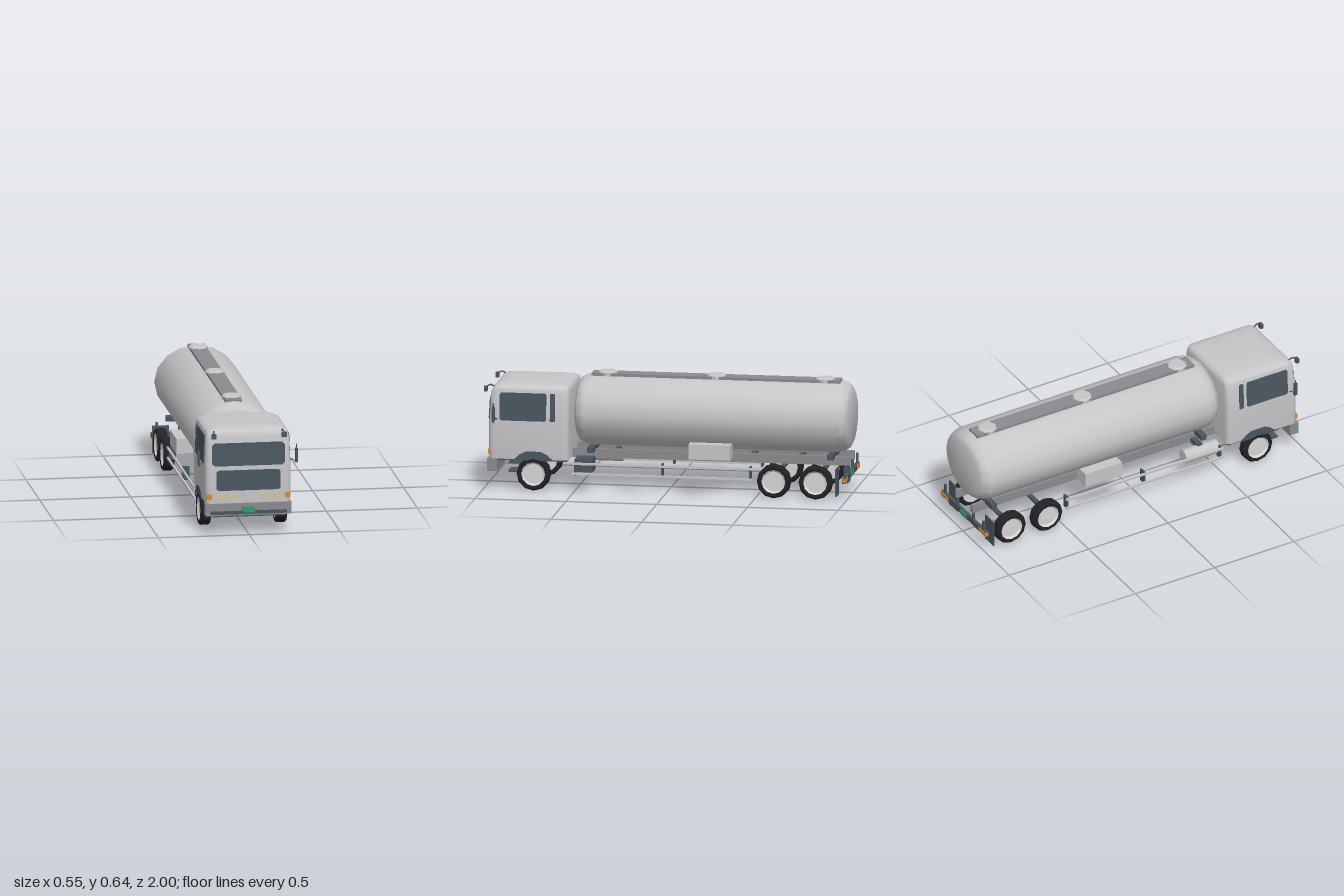
import * as THREE from 'three';
import { toCreasedNormals } from 'three/addons/utils/BufferGeometryUtils.js';

const paint = (name, color) => Object.assign(new THREE.MeshStandardMaterial({ color }), { name });

export function createModel() {
  const model = new THREE.Group();
  model.name = 'tankerTruck';
  const body = paint('bodySilver', 0xc6c6c9);
  const grey = paint('midGrey', 0x8b8b8f);
  const dark = paint('darkSlate', 0x4a5660);
  const tyreMat = paint('tyreBlack', 0x222126);
  const hubMat = paint('hubGrey', 0xd6d6d6);
  const orange = paint('orangeLamp', 0xdb8f24);
  const lampMat = paint('headlightCream', 0xcdc5a4);
  const green = paint('plateGreen', 0x2f9e78);

  const add = (name, geo, mat, parent = model) => {
    const m = new THREE.Mesh(geo, mat);
    m.name = name;
    parent.add(m);
    return m;
  };
  // Box given by its extents on each axis
  const box = (name, mat, [x0, x1], [y0, y1], [z0, z1], parent = model) => {
    const m = add(name, new THREE.BoxGeometry(Math.abs(x1 - x0), y1 - y0, z1 - z0), mat, parent);
    m.position.set((x0 + x1) / 2, (y0 + y1) / 2, (z0 + z1) / 2);
    return m;
  };
  const lathe = (pts, sides) => new THREE.LatheGeometry(pts.map(p => new THREE.Vector2(...p)), sides);
  // Thin panel with cut corners, facing +z
  const panel = (w, h, c, t = 0.008) => {
    const a = w / 2, b = h / 2;
    const s = new THREE.Shape([[-a + c, -b], [a - c, -b], [a, -b + c], [a, b - c], [a - c, b], [-a + c, b], [-a, b - c], [-a, -b + c]]
      .map(p => new THREE.Vector2(...p)));
    return new THREE.ExtrudeGeometry(s, { depth: t, bevelEnabled: false }).translate(0, 0, -t / 2);
  };
  // Round rod through a few points
  const rod = (name, mat, pts, r = 0.004) => {
    const path = new THREE.CurvePath();
    const v = pts.map(p => new THREE.Vector3(...p));
    for (let i = 1; i < v.length; i++) path.add(new THREE.LineCurve3(v[i - 1], v[i]));
    add(name, new THREE.TubeGeometry(path, 8, r, 6), mat);
  };

  // Cab shell: rounded rectangles stacked upwards [y, halfWidth, back, front, radius]
  const levels = [
    [0.172, 0.233, 0.53, 0.97, 0.03], [0.22, 0.236, 0.53, 0.971, 0.03], [0.37, 0.236, 0.53, 0.971, 0.03],
    [0.535, 0.229, 0.53, 0.96, 0.035], [0.56, 0.222, 0.534, 0.952, 0.04], [0.574, 0.2, 0.545, 0.935, 0.045],
    [0.582, 0.165, 0.575, 0.9, 0.045], [0.585, 0.08, 0.65, 0.82, 0.04]];
  const pos = [], idx = [], N = 20;
  for (const [y, hx, z0, z1, r] of levels) {
    [[hx - r, z1 - r], [-hx + r, z1 - r], [-hx + r, z0 + r], [hx - r, z0 + r]].forEach(([cx, cz], q) => {
      for (let k = 0; k < 5; k++) {
        const a = (q + k / 4) * Math.PI / 2;
        pos.push(cx + r * Math.cos(a), y, cz + r * Math.sin(a));
      }
    });
  }
  for (let i = 0; i < levels.length - 1; i++) {
    for (let j = 0; j < N; j++) {
      const a = i * N + j, b = i * N + (j + 1) % N;
      idx.push(a, a + N, b + N, a, b + N, b);
    }
  }
  const top = (levels.length - 1) * N;
  for (let j = 1; j < N - 1; j++) idx.push(top, top + j + 1, top + j, 0, j, j + 1);
  const shell = new THREE.BufferGeometry();
  shell.setAttribute('position', new THREE.Float32BufferAttribute(pos, 3));
  shell.setIndex(idx);
  add('cabShell', toCreasedNormals(shell, 0.7), body);
  box('cabFloor', dark, [-0.225, 0.225], [0.163, 0.174], [0.54, 0.95]);

  // Cab front: windscreen, grille, lamps, bumper
  const screen = add('windscreen', panel(0.4, 0.126, 0.014), dark);
  screen.position.set(0, 0.4425, 0.9672);
  screen.rotation.x = -0.066;
  add('grille', panel(0.35, 0.113, 0.01), dark).position.set(0, 0.299, 0.97);
  box('frontBumper', grey, [-0.236, 0.236], [0.104, 0.172], [0.922, 0.977]);
  box('bumperIntake', dark, [-0.211, 0.211], [0.111, 0.13], [0.972, 0.979]);
  box('bumperLip', dark, [-0.2, 0.2], [0.096, 0.104], [0.93, 0.97]);
  box('frontPlate', green, [-0.033, 0.033], [0.12, 0.153], [0.974, 0.981]);

  // Wheel arch spanning the cab's underside
  const arch = new THREE.Shape([[-0.11, 0.168], [-0.075, 0.2], [-0.04, 0.217], [0.04, 0.217], [0.075, 0.2], [0.11, 0.168]]
    .map(p => new THREE.Vector2(...p)));
  add('wheelArch', new THREE.ExtrudeGeometry(arch, { depth: 0.476, bevelEnabled: false })
    .rotateY(Math.PI / 2).translate(-0.238, 0, 0.723), dark);

  // Wheels: tyre and dished hub turned around the axle
  const tyreGeo = toCreasedNormals(lathe([[0.066, -0.03], [0.083, -0.03], [0.093, -0.019], [0.093, 0.019], [0.083, 0.03], [0.066, 0.028]], 12)
    .rotateZ(-Math.PI / 2), 0.4);
  const hubGeo = toCreasedNormals(lathe([[0, -0.028], [0.068, -0.028], [0.068, 0.027], [0.056, 0.017], [0, 0.017]], 12)
    .rotateZ(-Math.PI / 2), 0.4);
  for (const z of [0.723, -0.6, -0.83]) {
    for (const s of [1, -1]) {
      const wheel = new THREE.Group();
      wheel.name = 'wheel';
      add('tyre', tyreGeo, tyreMat, wheel);
      add('hub', hubGeo, hubMat, wheel);
      wheel.position.set(s * 0.209, 0.093, z);
      wheel.rotation.y = s > 0 ? 0 : Math.PI;
      model.add(wheel);
    }
    add('axle', new THREE.CylinderGeometry(0.014, 0.014, 0.38, 8).rotateZ(Math.PI / 2), dark).position.set(0, 0.115, z);
  }

  // Tank: elliptical barrel with rounded ends
  const barrel = lathe([[0, -1], [0.73, -1], [0.86, -0.988], [0.96, -0.96], [1, -0.925],
    [1, 0.43], [0.96, 0.467], [0.86, 0.495], [0.73, 0.507], [0, 0.507]], 16)
    .rotateX(Math.PI / 2).scale(0.23, 0.197, 1).translate(0, 0.421, 0);
  add('tankBarrel', toCreasedNormals(barrel, 0.55), body);
  box('walkway', grey, [-0.046, 0.046], [0.609, 0.625], [-0.935, 0.434]);
  const lid = toCreasedNormals(lathe([[0, 0.61], [0.054, 0.61], [0.054, 0.628], [0.044, 0.636], [0, 0.636]], 8), 0.5);
  for (const z of [-0.847, -0.249, 0.349]) add('manholeLid', lid, body).position.z = z;

  // Tank cradles and chassis cross members
  for (const z of [0.42, -0.9]) box('tankCradle', dark, [-0.17, 0.17], [0.207, 0.236], [z - 0.017, z + 0.017]);
  for (const z of [0.3, -0.1, -0.45, -0.715]) box('crossMember', dark, [-0.085, 0.085], [0.172, 0.2], [z - 0.015, z + 0.015]);

  // Parts repeated on both sides
  for (const s of [1, -1]) {
    const X = (a, b) => [s * a, s * b];
    box('chassisRail', grey, X(0.076, 0.094), [0.167, 0.217], [-0.995, 0.9]);

    // Cab windows, lamps and mirrors
    for (const [z, w, c] of [[0.78, 0.256, 0.008], [0.618, 0.027, 0.003]]) {
      const win = add('sideWindow', panel(w, 0.154, c), dark);
      win.position.set(s * 0.2325, 0.462, z);
      win.rotation.set(-0.042, s * Math.PI / 2, 0, 'YXZ');
    }
    add('headlight', panel(0.114, 0.032, 0.006), lampMat).position.set(s * 0.12, 0.209, 0.97);
    box('cornerLamp', orange, X(0.2, 0.229), [0.195, 0.224], [0.945, 0.974]);
    box('frontMirror', dark, X(0.181, 0.206), [0.537, 0.565], [0.982, 1]);
    rod('frontMirrorArm', dark, [[s * 0.185, 0.562, 0.94], [s * 0.19, 0.574, 0.965], [s * 0.193, 0.562, 0.988]]);
    box('sideMirror', dark, X(0.263, 0.275), [0.385, 0.462], [0.93, 0.947]);
    rod('sideMirrorArm', dark, [[s * 0.23, 0.39, 0.92], [s * 0.253, 0.402, 0.932], [s * 0.266, 0.372, 0.938], [s * 0.269, 0.485, 0.938]], 0.003);
    for (const y of [0.1, 0.148]) box('cabStep', dark, X(0.12, 0.205), [y - 0.005, y + 0.005], [0.78, 0.865]);

    // Locker and side guard
    box('sideLocker', body, X(0.135, 0.228), [0.2, 0.283], [-0.36, -0.13]);
    for (const y of [0.099, 0.155]) box('guardRail', body, X(0.219, 0.229), [y - 0.006, y + 0.006], [-0.48, 0.51]);
    for (const z of [0.497, 0.017, -0.467]) box('guardPost', dark, X(0.18, 0.22), [0.09, 0.165], [z - 0.005, z + 0.005]);

    // Mudflap, tail lamp and bar bracket
    box('mudflap', dark, X(0.147, 0.239), [0.02, 0.172], [-0.947, -0.94]);
    box('tailLamp', orange, X(0.165, 0.241), [0.1, 0.121], [-0.999, -0.98]);
    box('barBracket', dark, X(0.2, 0.212), [0.12, 0.18], [-0.995, -0.983]);
    box('barHanger', dark, X(0.08, 0.09), [0.1, 0.17], [-0.99, -0.975]);
  }

  // Rear bar with plate
  box('rearBar', dark, [-0.238, 0.238], [0.093, 0.126], [-0.995, -0.978]);
  box('rearPlate', green, [-0.033, 0.033], [0.097, 0.123], [-1, -0.993]);

  // Battery box on the left, air tank on the right
  box('batteryBox', dark, [0.11, 0.212], [0.107, 0.18], [0.4, 0.5]);
  add('airTank', new THREE.CylinderGeometry(0.04, 0.04, 0.21, 14).rotateX(Math.PI / 2), body).position.set(-0.165, 0.14, 0.395);
  box('airTankStrap', dark, [-0.17, -0.085], [0.165, 0.19], [0.38, 0.41]);

  return model;
}
